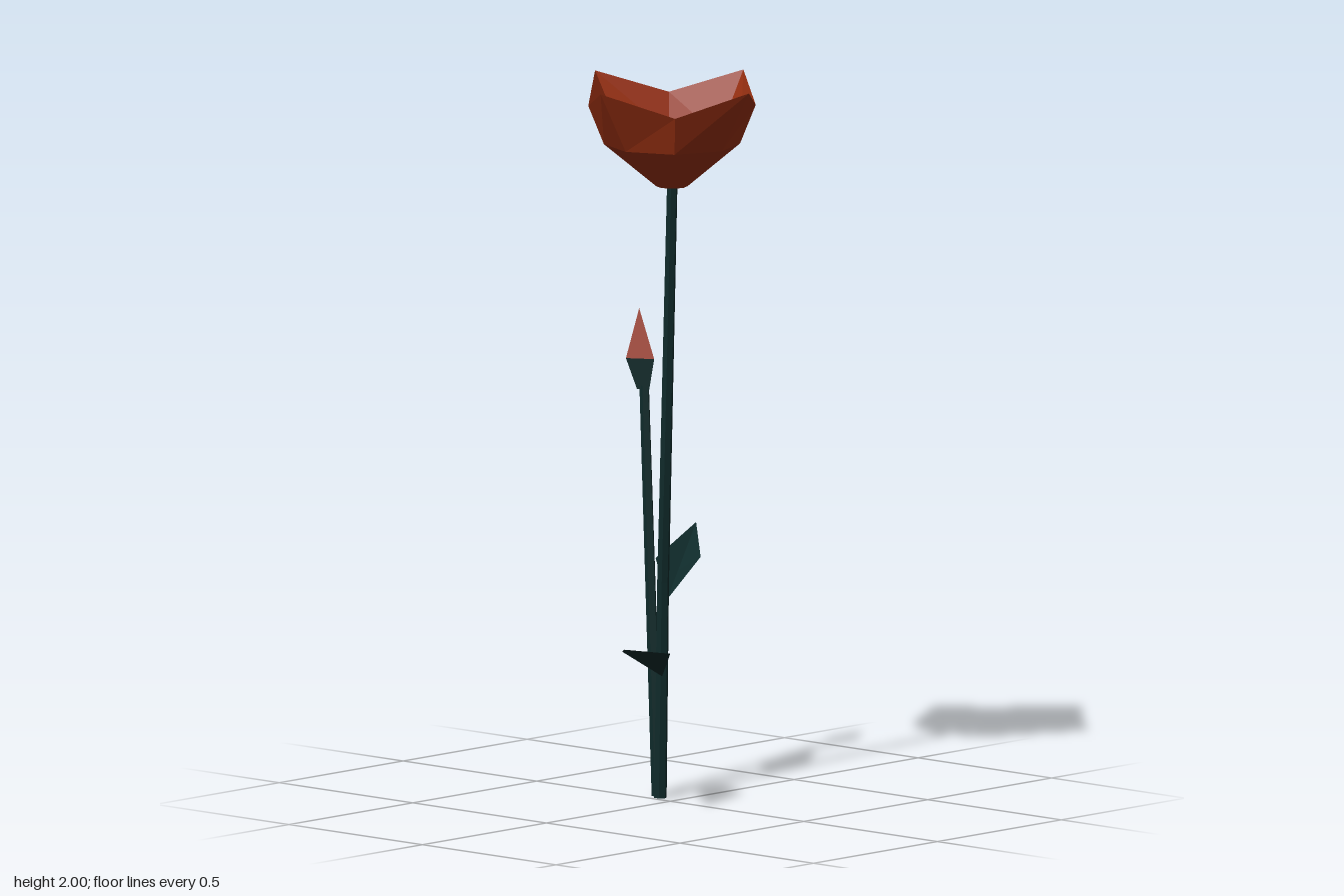
import * as THREE from 'three';

const mat = (name, color) => {
  const m = new THREE.MeshStandardMaterial({ color, flatShading: true, side: THREE.DoubleSide });
  m.name = name;
  return m;
};

// Mesh from a flat list of corner points, three per triangle
function facetMesh(name, points, material) {
  const geo = new THREE.BufferGeometry().setFromPoints(points);
  geo.computeVertexNormals();
  const mesh = new THREE.Mesh(geo, material);
  mesh.name = name;
  return mesh;
}

// Horizontal ring of points; r may be a function of the corner index
function ring(x, y, z, r, sides, turn = 0) {
  return Array.from({ length: sides }, (_, i) => {
    const a = turn + (i / sides) * Math.PI * 2;
    const radius = typeof r === 'function' ? r(i) : r;
    const height = typeof y === 'function' ? y(i) : y;
    return new THREE.Vector3(x + Math.cos(a) * radius, height, z + Math.sin(a) * radius);
  });
}

// Skin between successive rings
function loft(name, rings, material) {
  const pts = [];
  for (let k = 0; k < rings.length - 1; k++) {
    const lo = rings[k], hi = rings[k + 1], n = lo.length;
    for (let i = 0; i < n; i++) {
      const j = (i + 1) % n;
      pts.push(lo[i], hi[i], lo[j], lo[j], hi[i], hi[j]);
    }
  }
  return facetMesh(name, pts, material);
}

// Four-facet leaf folded along its rib
function leaf(name, corners, material) {
  const [base, left, right, rib, tip] = corners.map((c) => new THREE.Vector3(...c));
  return facetMesh(name, [
    base, left, rib, left, tip, rib,
    base, rib, right, rib, tip, right,
  ], material);
}

export function createModel() {
  const group = new THREE.Group();
  group.name = 'flower';
  const red = mat('petal red', 0x962f11);
  const orange = mat('centre orange', 0xc06010);
  const green = mat('stem green', 0x0f2a2a);

  // Blossom: eight-sided cup with four pointed petals
  const cz = -0.007;
  const pick = (tip, valley) => (i) => (i % 2 ? valley : tip);
  group.add(loft('petals', [
    ring(0, 1.71, cz, 0.043, 8),
    ring(0, 1.828, cz, 0.187, 8),
    ring(0, pick(2, 1.935), cz, pick(0.288, 0.23), 8),
  ], red));
  group.add(loft('petalLining', [
    ring(0, 1.714, cz, 0.041, 8),
    ring(0, pick(1.823, 1.815), cz, pick(0.17, 0.159), 8),
  ], orange));
  group.add(loft('pistil', [
    ring(0, 1.715, cz, 0.012, 4, Math.PI / 4),
    ring(0, 1.75, cz, 0.048, 4, Math.PI / 4),
    ring(0, 1.8, cz, 0, 4, Math.PI / 4),
  ], red));

  // Main stem, gently bent
  group.add(loft('mainStem', [
    ring(-0.063, 0, -0.028, 0, 6),
    ring(-0.063, 0, -0.028, 0.018, 6),
    ring(-0.051, 0.6, -0.026, 0.017, 6),
    ring(0.002, 1.72, -0.006, 0.015, 6),
    ring(0.002, 1.72, -0.006, 0, 6),
  ], green));

  // Side stem with its closed bud
  group.add(loft('budStem', [
    ring(-0.088, 0, -0.043, 0, 5),
    ring(-0.088, 0, -0.043, 0.016, 5),
    ring(-0.207, 1.12, -0.119, 0.014, 5),
  ], green));
  group.add(loft('budCalyx', [
    ring(-0.21, 1.11, -0.12, 0, 3),
    ring(-0.21, 1.11, -0.12, 0.02, 3),
    ring(-0.222, 1.195, -0.125, 0.046, 3),
  ], green));
  group.add(loft('bud', [
    ring(-0.222, 1.195, -0.125, 0.046, 3),
    ring(-0.236, 1.33, -0.129, 0, 3),
  ], red));

  // Leaves: base, left edge, right edge, rib, tip
  group.add(leaf('backLeaf', [
    [-0.05, 0.55, -0.04], [-0.181, 0.64, -0.136], [-0.083, 0.645, -0.212],
    [-0.133, 0.605, -0.174], [-0.253, 0.703, -0.377],
  ], green));
  group.add(leaf('frontLeaf', [
    [-0.047, 0.34, -0.018], [0.102, 0.435, 0.11], [-0.02, 0.435, 0.173],
    [0.045, 0.4, 0.144], [0.177, 0.487, 0.377],
  ], green));

  return group;
}
